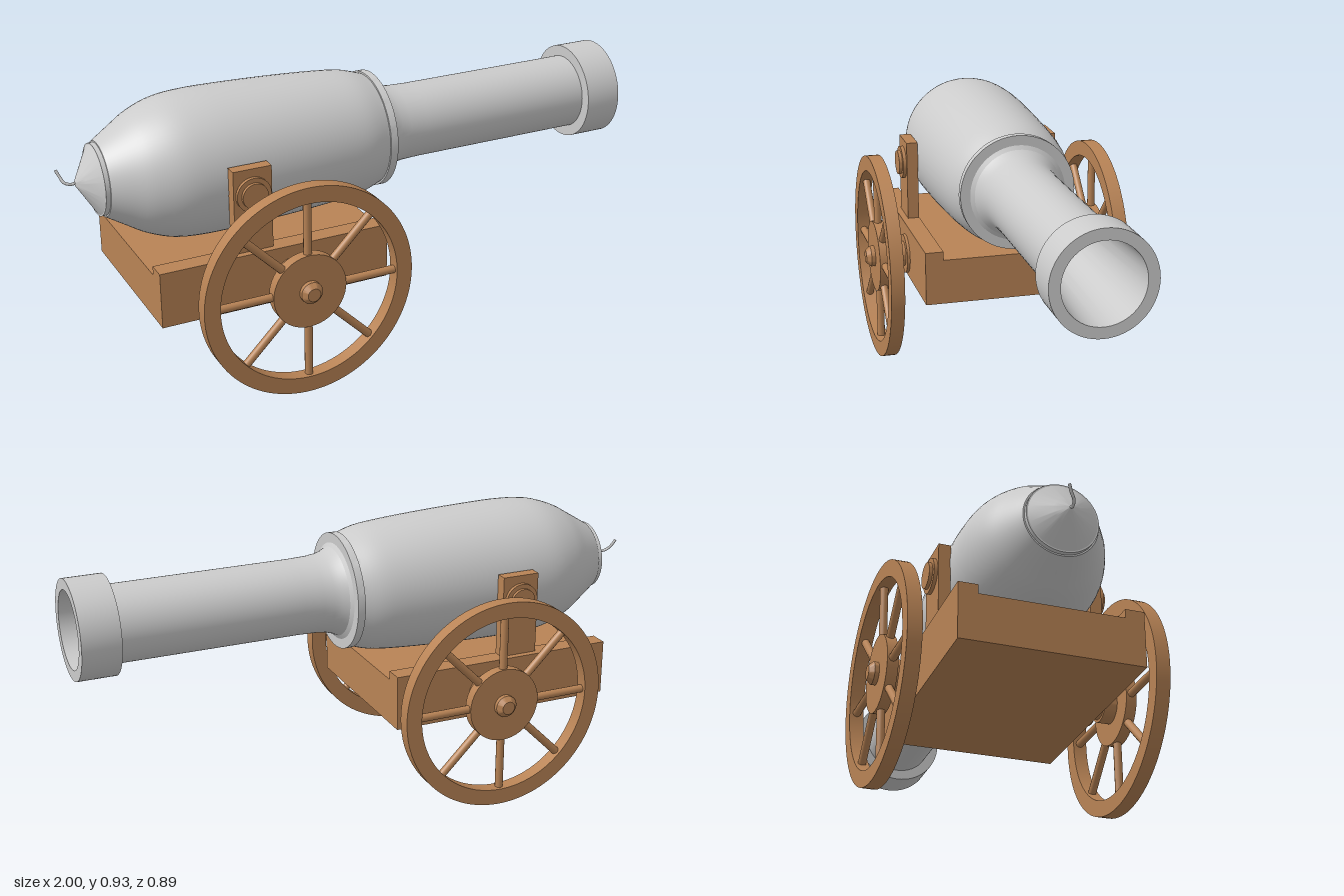
import * as THREE from 'three';
import { toCreasedNormals } from 'three/addons/utils/BufferGeometryUtils.js';

const iron = new THREE.MeshStandardMaterial({ color: 0xcccccc });
const wood = new THREE.MeshStandardMaterial({ color: 0xb88355 });

const AXIS_Y = 0.688;
const WHEEL = { x: -0.333, y: 0.36, r: 0.36 };

function add(parent, name, geometry, material) {
  const mesh = new THREE.Mesh(geometry, material);
  mesh.name = name;
  parent.add(mesh);
  return mesh;
}

// Turned solid from [radius, height] pairs, with sharp edges kept
function turned(profile, segments = 48) {
  const points = profile.map(([r, h]) => new THREE.Vector2(r, h));
  return toCreasedNormals(new THREE.LatheGeometry(points, segments), 0.45);
}

function createBarrel() {
  const barrel = new THREE.Group();
  barrel.name = 'barrel';

  // Breech cone, swelling body, collar, neck, muzzle band and bore in one profile
  const swell = new THREE.SplineCurve([
    [0.122, -0.865], [0.162, -0.8], [0.2, -0.735], [0.229, -0.65], [0.238, -0.55],
    [0.237, -0.42], [0.231, -0.25], [0.222, -0.1], [0.211, 0], [0.19, 0.07],
  ].map(([r, h]) => new THREE.Vector2(r, h))).getPoints(36).map(p => [p.x, p.y]);
  const profile = [
    [0, -0.945], [0.012, -0.94], [0.045, -0.92], [0.112, -0.88], [0.117, -0.88], [0.117, -0.865],
    ...swell,
    [0.196, 0.07], [0.196, 0.096], [0.163, 0.096],
    [0.15, 0.105], [0.14, 0.125], [0.133, 0.15], [0.129, 0.185], [0.127, 0.25], [0.127, 0.872],
    [0.164, 0.872], [0.164, 1], [0.128, 1], [0.093, 0.3], [0, 0.3],
  ];
  const body = add(barrel, 'barrelBody', turned(profile, 64), iron);
  body.rotation.z = -Math.PI / 2;
  body.position.y = AXIS_Y;

  // Curled fuse at the breech
  const path = new THREE.CatmullRomCurve3([
    new THREE.Vector3(-0.935, 0.69, 0),
    new THREE.Vector3(-0.955, 0.688, 0.002),
    new THREE.Vector3(-0.975, 0.695, -0.003),
    new THREE.Vector3(-0.985, 0.713, -0.015),
    new THREE.Vector3(-0.994, 0.734, -0.024),
  ]);
  add(barrel, 'fuse', new THREE.TubeGeometry(path, 20, 0.005, 8), iron);
  return barrel;
}

function createCarriage() {
  const carriage = new THREE.Group();
  carriage.name = 'carriage';

  // Bed with raised side rails
  const section = new THREE.Shape([
    [-0.298, 0.283], [0.298, 0.283], [0.298, 0.47], [0.235, 0.47],
    [0.235, 0.44], [-0.235, 0.44], [-0.235, 0.47], [-0.298, 0.47],
  ].map(([z, y]) => new THREE.Vector2(z, y)));
  const bedGeometry = new THREE.ExtrudeGeometry(section, { depth: 0.787, bevelEnabled: false });
  bedGeometry.rotateY(Math.PI / 2);
  add(carriage, 'bed', bedGeometry, wood).position.x = -0.785;

  for (const side of [1, -1]) {
    // Upright bracket
    const bracket = add(carriage, 'bracket', new THREE.BoxGeometry(0.13, 0.31, 0.04), wood);
    bracket.position.set(-0.46, 0.595, side * 0.256);

    // Stepped trunnion through the bracket
    const trunnion = add(carriage, 'trunnion', turned([
      [0, 0.2], [0.043, 0.2], [0.043, 0.275], [0.058, 0.275], [0.058, 0.288],
      [0.043, 0.288], [0.043, 0.299], [0, 0.299],
    ], 32), wood);
    trunnion.rotation.x = side * Math.PI / 2;
    trunnion.position.set(-0.46, 0.665, 0);
  }
  return carriage;
}

// Wheel built around the z axis, outer side towards +z
function createWheel() {
  const wheel = new THREE.Group();
  wheel.name = 'wheel';

  // Rim
  const ring = new THREE.Shape().absarc(0, 0, WHEEL.r, 0, Math.PI * 2, false);
  ring.holes.push(new THREE.Path().absarc(0, 0, 0.306, 0, Math.PI * 2, true));
  const rim = new THREE.ExtrudeGeometry(ring, { depth: 0.047, bevelEnabled: false, curveSegments: 56 });
  add(wheel, 'rim', toCreasedNormals(rim, 0.45), wood).position.z = 0.375;

  // Spokes
  for (let i = 0; i < 8; i++) {
    const angle = i * Math.PI / 4;
    const spoke = add(wheel, 'spoke', new THREE.CylinderGeometry(0.0135, 0.0135, 0.22, 12), wood);
    spoke.position.set(Math.cos(angle) * 0.21, Math.sin(angle) * 0.21, 0.398);
    spoke.rotation.z = angle - Math.PI / 2;
  }

  // Axle flange, stepped axle, hub disc and end cap
  const hub = add(wheel, 'hub', turned([
    [0, 0.28], [0.07, 0.28], [0.07, 0.308], [0.045, 0.308], [0.045, 0.338],
    [0.054, 0.338], [0.054, 0.38], [0.126, 0.38], [0.126, 0.416],
    [0.037, 0.416], [0.037, 0.43], [0.022, 0.446], [0, 0.446],
  ]), wood);
  hub.rotation.x = Math.PI / 2;
  return wheel;
}

export function createModel() {
  const model = new THREE.Group();
  model.name = 'cannon';
  model.add(createBarrel(), createCarriage());
  for (const side of [1, -1]) {
    const wheel = createWheel();
    wheel.name = side > 0 ? 'frontWheel' : 'backWheel';
    wheel.position.set(WHEEL.x, WHEEL.y, 0);
    if (side < 0) wheel.rotation.y = Math.PI;
    model.add(wheel);
  }
  return model;
}
